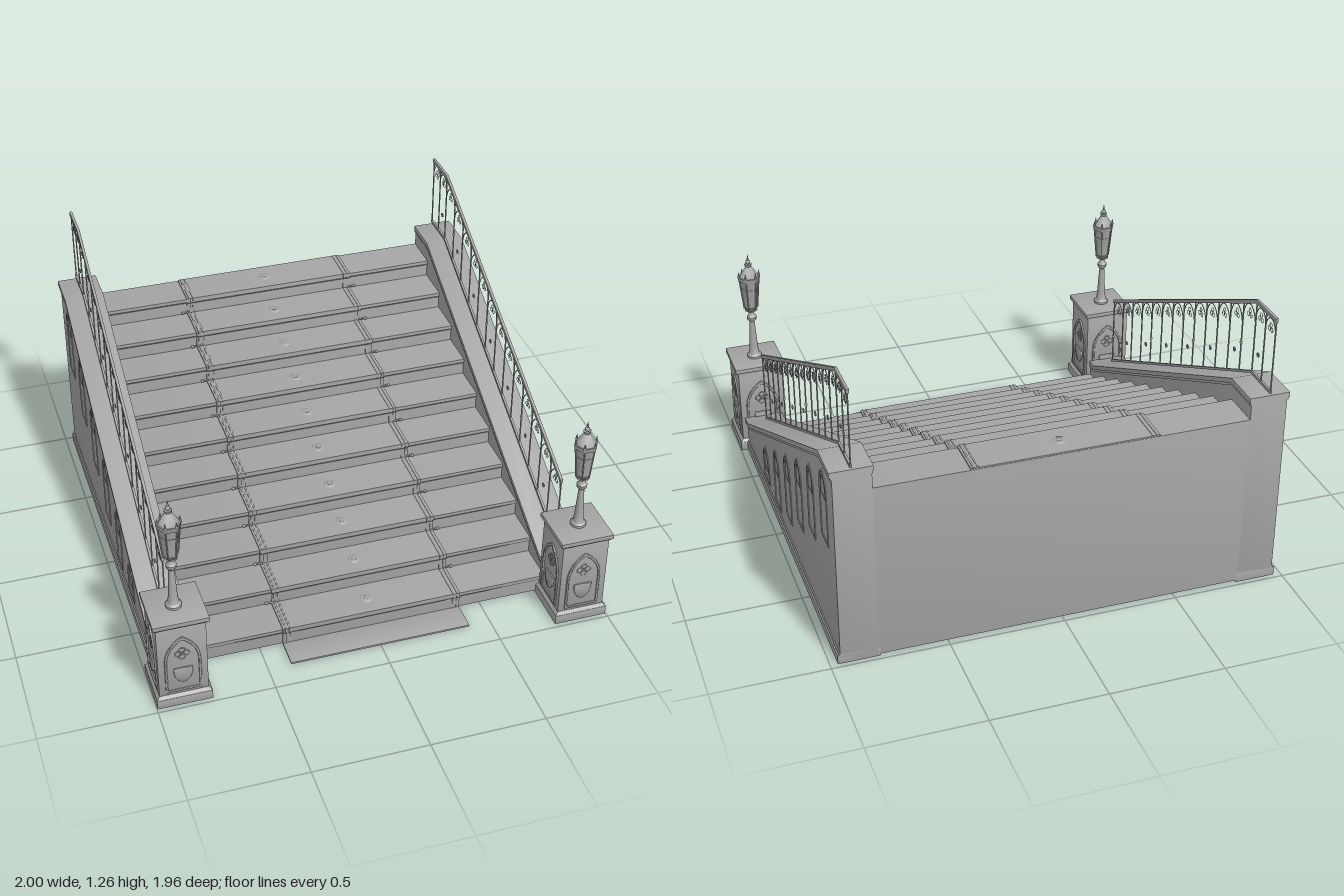
import * as THREE from 'three';
import { toCreasedNormals } from 'three/addons/utils/BufferGeometryUtils.js';

const stone = new THREE.MeshStandardMaterial({ color: 0xa6a6a6 });
stone.name = 'grey stone';

const STEPS = 10, RUN = 0.174, RISE = 0.08, TOP = 0.81, BACK = -0.98;

function add(parent, name, geo, x = 0, y = 0, z = 0) {
  const mesh = new THREE.Mesh(geo, stone);
  mesh.name = name;
  mesh.position.set(x, y, z);
  parent.add(mesh);
  return mesh;
}

// Rounds the normals: each leans outwards from the middle of the part
function soften(geo, tx, ty = tx, tz = tx) {
  geo.computeBoundingBox();
  const c = geo.boundingBox.getCenter(new THREE.Vector3());
  const half = geo.boundingBox.getSize(new THREE.Vector3()).multiplyScalar(0.5);
  const tilt = new THREE.Vector3(tx, ty, tz).divide(half);
  const p = new THREE.Vector3(), n = new THREE.Vector3();
  const { position, normal } = geo.attributes;
  for (let i = 0; i < position.count; i++) {
    p.fromBufferAttribute(position, i).sub(c).multiply(tilt);
    n.fromBufferAttribute(normal, i).add(p).normalize();
    normal.setXYZ(i, n.x, n.y, n.z);
  }
  return geo;
}
const block = (w, h, d) => soften(new THREE.BoxGeometry(w, h, d), 0.3);

// Extrudes a side profile of [z, y] points from x0 to x1
function sideExtrude(points, x0, x1) {
  const shape = new THREE.Shape(points.map(([z, y]) => new THREE.Vector2(-z, y)));
  const geo = new THREE.ExtrudeGeometry(shape, { depth: x1 - x0, bevelEnabled: false });
  return toCreasedNormals(geo.rotateY(Math.PI / 2).translate(x0, 0, 0), 0.6);
}
// Strip of thickness t hanging below a [z, y] line
const band = (line, t) => [...line, ...line.map(([z, y]) => [z, y - t]).reverse()];

// Stair profile with nosings, grown outwards by o
function stairProfile(o, back) {
  const pts = [[back, 0.01 + o * 0.1], [back, TOP + o]];
  for (let i = 0; i < STEPS; i++) {
    const y = TOP - i * RISE, z = -0.803 + i * RUN;
    const next = i < STEPS - 1 ? y - RISE + o : 0.01 + o * 0.1;
    pts.push([z + o, y + o], [z + o, y - 0.016], [z - 0.006 + o, y - 0.024], [z - 0.006 + o, next]);
  }
  return pts;
}

// Pointed arch outline, standing on y = 0
function archPath(w, h, Type = THREE.Shape, inset = 0) {
  const a = w / 2 - inset, r = 2 * a, spring = h - w * 0.866;
  const p = new Type();
  p.moveTo(-a, inset);
  p.lineTo(a, inset);
  p.lineTo(a, spring);
  p.absarc(-a, spring, r, 0, Math.PI / 3, false);
  p.absarc(a, spring, r, Math.PI * 2 / 3, Math.PI, false);
  p.lineTo(-a, inset);
  return p;
}
const bevel = { bevelSize: 0.0015, bevelThickness: 0.0015, bevelSegments: 1, curveSegments: 8 };
function archFrame(w, h, t, depth) {
  const s = archPath(w, h);
  s.holes.push(archPath(w, h, THREE.Path, t));
  return toCreasedNormals(new THREE.ExtrudeGeometry(s, { depth, ...bevel }), 1);
}

function stairs() {
  const g = new THREE.Group();
  g.name = 'stairs';
  add(g, 'steps', soften(sideExtrude(stairProfile(0, BACK), -0.8, 0.8), 0.3, 0.1, 0));
  add(g, 'carpet', soften(sideExtrude(stairProfile(0.006, -0.978), -0.4, 0.4), 0.25, 0.1, 0));
  add(g, 'carpetEnd', block(0.8, 0.008, 0.13), 0, 0.01, 0.825);
  for (const x of [-0.388, -0.37, 0.37, 0.388])
    add(g, 'carpetStripe', soften(sideExtrude(stairProfile(0.008, -0.976), x - 0.003, x + 0.003), 0.5, 0, 0));
  const stub = new THREE.CylinderGeometry(0.004, 0.004, 0.03, 8).rotateZ(Math.PI / 2);
  const knob = new THREE.SphereGeometry(0.007, 10, 8);
  const disc = soften(new THREE.CylinderGeometry(0.022, 0.03, 0.003, 16), 0.3, 0);
  const hub = new THREE.SphereGeometry(0.01, 12, 8).scale(1, 0.4, 1);
  for (let i = 0; i < STEPS; i++) {
    const y = TOP - i * RISE, z = -0.803 + i * RUN;
    add(g, 'medallion', disc, 0, y + 0.007, z - 0.085);
    add(g, 'medallionHub', hub, 0, y + 0.008, z - 0.085);
    if (i === 0) continue;
    // Carpet rod ends in the corner at the back of the tread
    for (const s of [-1, 1]) {
      add(g, 'rodEnd', stub, s * 0.405, y + 0.01, z - RUN + 0.002);
      add(g, 'rodKnob', knob, s * 0.423, y + 0.01, z - RUN + 0.002);
    }
  }
  return g;
}

function wall(s) {
  const g = new THREE.Group();
  g.name = 'sideWall';
  const across = (pts, a, b) => soften(sideExtrude(pts, Math.min(s * a, s * b), Math.max(s * a, s * b)), 0.2, 0.2, 0.2);
  const line = [[0.78, 0.168], [0.705, 0.168], [-0.8, 0.91], [BACK, 0.91]];
  const body = line.map(([z, y]) => [z, y - 0.02]);
  add(g, 'wallBody', across([...body, [BACK, 0.005], [0.78, 0.005]], 0.797, 0.957));
  add(g, 'coping', across(band(line, 0.022), 0.79, 0.968));
  add(g, 'copingMoulding', across(band(body, 0.014), 0.793, 0.963));
  add(g, 'plinth', across([[0.77, 0], [0.77, 0.04], [BACK, 0.04], [BACK, 0]], 0.79, 0.968));
  add(g, 'plinthMoulding', across([[0.77, 0.03], [0.77, 0.048], [BACK, 0.048], [BACK, 0.03]], 0.79, 0.962));
  // Blind windows climbing along the outer face
  for (let i = 0; i < 6; i++) {
    const z = 0.34 - i * 0.232, top = 0.255 + i * 0.116;
    const bottom = Math.max(0.075, top - 0.335);
    const frame = add(g, 'blindWindow', archFrame(0.11, top - bottom, 0.006, 0.003), s * 0.956, bottom, z);
    frame.rotation.y = s * Math.PI / 2;
    const inner = add(g, 'windowTracery', archFrame(0.07, 0.1, 0.004, 0.002), s * 0.956, top - 0.125, z);
    inner.rotation.y = s * Math.PI / 2;
  }
  return g;
}

function railing(s) {
  const g = new THREE.Group();
  g.name = 'railing';
  g.position.x = s * 0.88;
  const railTop = z => 1.262 - Math.max(0, z + 0.8) * 0.489;
  const railBottom = z => 0.932 - Math.max(0, z + 0.8) * 0.492;
  const ends = [0.68, -0.8, BACK];
  add(g, 'topRail', sideExtrude(band(ends.map(z => [z, railTop(z)]), 0.018), -0.006, 0.006));
  add(g, 'bottomRail', sideExtrude(band(ends.map(z => [z, railBottom(z)]), 0.012), -0.005, 0.005));
  const posts = Array.from({ length: 14 }, (_, i) => 0.677 - i * 0.1137).concat(-0.888, -0.976);
  const ring = new THREE.TorusGeometry(0.01, 0.0014, 4, 12).rotateY(Math.PI / 2);
  const rosette = new THREE.TorusGeometry(0.008, 0.003, 6, 12).rotateY(Math.PI / 2);
  const bead = new THREE.SphereGeometry(0.007, 8, 6);
  posts.forEach((z, i) => {
    const y0 = railBottom(z) - 0.012, y1 = railTop(z) - 0.005;
    add(g, 'baluster', new THREE.CylinderGeometry(0.0032, 0.0032, y1 - y0, 6), 0, (y0 + y1) / 2, z);
    if (i % 4 === 0) add(g, 'balusterBead', bead, 0, y0 + 0.14, z);
    if (i === posts.length - 1) return;
    // Arch, trefoil and rosette in each bay
    const mid = (z + posts[i + 1]) / 2, half = (z - posts[i + 1]) / 2;
    const apex = railTop(mid) - 0.022, spring = railTop(z) - 0.085;
    const pts = [];
    for (let k = 0; k <= 8; k++) {
      const a = k / 8 * Math.PI;
      pts.push(new THREE.Vector3(0, spring + Math.sin(a) * (apex - spring), mid + Math.cos(a) * half));
    }
    add(g, 'railArch', new THREE.TubeGeometry(new THREE.CatmullRomCurve3(pts), 16, 0.0022, 5));
    for (let k = 0; k < 3; k++) {
      const a = Math.PI / 2 + k * Math.PI * 2 / 3;
      add(g, 'trefoilRing', ring, 0, apex - 0.042 + Math.sin(a) * 0.013, mid + Math.cos(a) * 0.013);
    }
    if (i % 2 === 1) add(g, 'rosette', rosette, 0, railBottom(mid) + 0.095, mid);
  });
  return g;
}

function pedestal(s) {
  const g = new THREE.Group();
  g.name = 'pedestal';
  g.position.set(s * 0.88, 0, 0.863);
  add(g, 'pedestalBase', block(0.235, 0.042, 0.235), 0, 0.021, 0);
  const chamfer = new THREE.CylinderGeometry(0.148, 0.164, 0.014, 4, 1).rotateY(Math.PI / 4);
  add(g, 'baseMoulding', toCreasedNormals(chamfer, 0.3), 0, 0.049, 0);
  add(g, 'pedestalBody', block(0.208, 0.37, 0.208), 0, 0.235, 0);
  add(g, 'capMoulding', block(0.218, 0.012, 0.218), 0, 0.413, 0);
  add(g, 'pedestalCap', block(0.235, 0.02, 0.235), 0, 0.427, 0);
  // Shield with bevelled rim
  const shield = new THREE.Shape();
  shield.moveTo(-0.038, 0.075);
  shield.quadraticCurveTo(-0.042, 0.015, 0, 0);
  shield.quadraticCurveTo(0.042, 0.015, 0.038, 0.075);
  const shieldGeo = toCreasedNormals(new THREE.ExtrudeGeometry(shield, { depth: 0.006, ...bevel }), 1);
  const lobe = new THREE.TorusGeometry(0.014, 0.002, 5, 14);
  for (let k = 0; k < 4; k++) {
    const face = new THREE.Group();
    face.name = 'pedestalFace';
    face.rotation.y = k * Math.PI / 2;
    add(face, 'archPanel', archFrame(0.15, 0.285, 0.007, 0.006), 0, 0.07, 0.103);
    add(face, 'shield', shieldGeo, 0, 0.115, 0.103);
    for (let j = 0; j < 4; j++) {
      const a = j * Math.PI / 2;
      add(face, 'quatrefoil', lobe, Math.cos(a) * 0.016, 0.265 + Math.sin(a) * 0.016, 0.104);
    }
    g.add(face);
  }
  return g;
}

function lamp(s) {
  const g = new THREE.Group();
  g.name = 'lamp';
  g.position.set(s * 0.883, 0.435, 0.863);
  const turned = [[0, 0], [0.034, 0], [0.034, 0.012], [0.025, 0.02], [0.02, 0.05], [0.016, 0.12], [0.012, 0.19],
    [0.021, 0.2], [0.023, 0.215], [0.014, 0.225], [0.012, 0.24], [0.03, 0.25], [0, 0.252]];
  const post = new THREE.LatheGeometry(turned.map(p => new THREE.Vector2(...p)), 16);
  add(g, 'lampPost', toCreasedNormals(post, 0.7));
  // Hexagonal lantern
  const hex = (name, rTop, rBottom, y0, y1) => add(g, name, toCreasedNormals(
    new THREE.CylinderGeometry(rTop, rBottom, y1 - y0, 6).rotateY(Math.PI / 6), 1.2), 0, (y0 + y1) / 2, 0);
  hex('lanternFoot', 0.036, 0.024, 0.25, 0.268);
  hex('lanternGlass', 0.044, 0.03, 0.268, 0.41);
  hex('lanternRim', 0.053, 0.05, 0.405, 0.425);
  hex('lanternWaist', 0.042, 0.041, 0.357, 0.365);
  hex('lanternRoof', 0.014, 0.046, 0.425, 0.475);
  hex('lanternChimney', 0.018, 0.014, 0.475, 0.488);
  for (let k = 0; k < 6; k++) {
    const a = k * Math.PI / 3 + Math.PI / 6, at = (r, y) => new THREE.Vector3(Math.sin(a) * r, y, Math.cos(a) * r);
    add(g, 'lanternBar', new THREE.TubeGeometry(new THREE.LineCurve3(at(0.032, 0.262), at(0.047, 0.412)), 1, 0.003, 6));
    const p = at(0.047, 0.437);
    add(g, 'crownPoint', new THREE.ConeGeometry(0.007, 0.032, 6), p.x, p.y, p.z);
  }
  add(g, 'finialBall', new THREE.SphereGeometry(0.011, 10, 8), 0, 0.497, 0);
  add(g, 'finialSpike', new THREE.ConeGeometry(0.006, 0.035, 8), 0, 0.52, 0);
  return g;
}

export function createModel() {
  const model = new THREE.Group();
  model.name = 'staircase';
  model.add(stairs());
  for (const s of [1, -1]) model.add(wall(s), railing(s), pedestal(s), lamp(s));
  return model;
}
